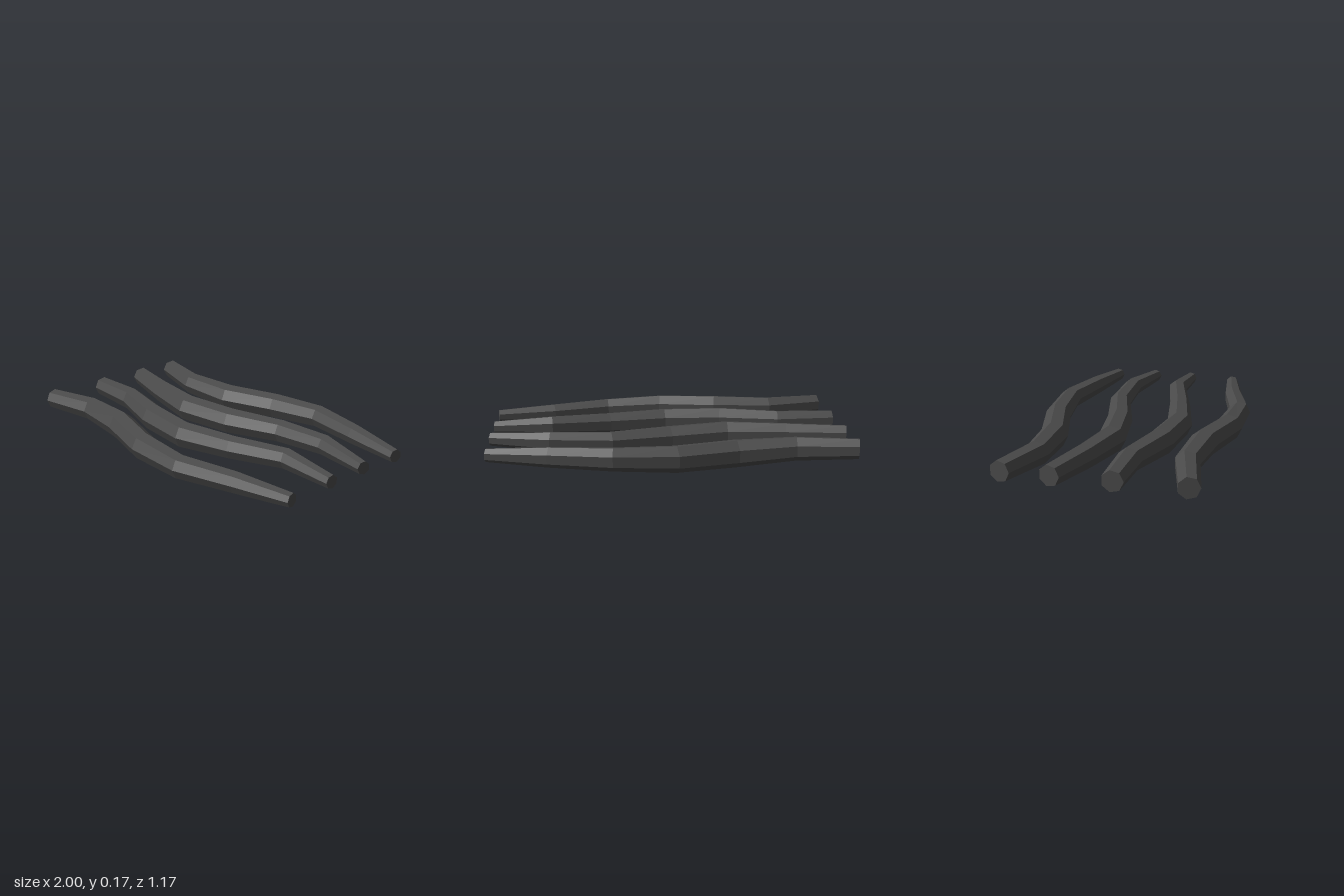
import * as THREE from 'three';

const SIDES = 7;
// Stations along x and the thickness shared by every strand
const XS = [-0.986, -0.66, -0.33, 0, 0.33, 0.66, 0.99];
const RADII = [0.057, 0.067, 0.077, 0.074, 0.064, 0.056, 0.037];

// Centre line of each strand, front to back
const STRANDS = [
  { z: [0.46, 0.39, 0.42, 0.508, 0.521, 0.441, 0.387], y: [0.1, 0.1, 0.1, 0.092, 0.083, 0.085, 0.09] },
  { z: [0.092, 0.096, 0.184, 0.22, 0.158, 0.08, 0.108], y: [0.1, 0.095, 0.088, 0.083, 0.092, 0.11, 0.1] },
  { z: [-0.222, -0.147, -0.087, -0.132, -0.215, -0.215, -0.133], y: [0.1, 0.09, 0.082, 0.079, 0.09, 0.105, 0.104] },
  { z: [-0.475, -0.4, -0.418, -0.506, -0.532, -0.465, -0.393], y: [0.1, 0.087, 0.076, 0.083, 0.1, 0.1, 0.097] },
];

// Seven-sided tapering tube with closed ends
function strandGeometry({ y, z }) {
  const last = XS.length - 1;
  const centres = XS.map((x, i) => new THREE.Vector3(x, y[i], z[i]));
  const rings = centres.map((c, i) => {
    const a = centres[Math.max(i - 1, 0)];
    const b = centres[Math.min(i + 1, last)];
    const side = new THREE.Vector3(a.z - b.z, 0, b.x - a.x).normalize();
    return Array.from({ length: SIDES }, (_, j) => {
      const t = (j / SIDES) * Math.PI * 2;
      const p = c.clone().addScaledVector(side, Math.cos(t) * RADII[i]);
      p.y += Math.sin(t) * RADII[i];
      return p;
    });
  });

  const points = [];
  for (let j = 0; j < SIDES; j++) {
    const k = (j + 1) % SIDES;
    for (let i = 0; i < last; i++) {
      const [r, s] = [rings[i], rings[i + 1]];
      points.push(r[j], s[j], s[k], r[j], s[k], r[k]);
    }
    points.push(centres[0], rings[0][j], rings[0][k]);
    points.push(centres[last], rings[last][k], rings[last][j]);
  }
  const geometry = new THREE.BufferGeometry().setFromPoints(points);
  geometry.computeVertexNormals();
  return geometry;
}

export function createModel() {
  const group = new THREE.Group();
  group.name = 'wavyStrands';
  const charcoal = new THREE.MeshStandardMaterial({ color: 0x4a4a4a });
  charcoal.name = 'charcoal';
  charcoal.flatShading = true;

  STRANDS.forEach((strand, i) => {
    const mesh = new THREE.Mesh(strandGeometry(strand), charcoal);
    mesh.name = `strand${i + 1}`;
    group.add(mesh);
  });
  return group;
}
